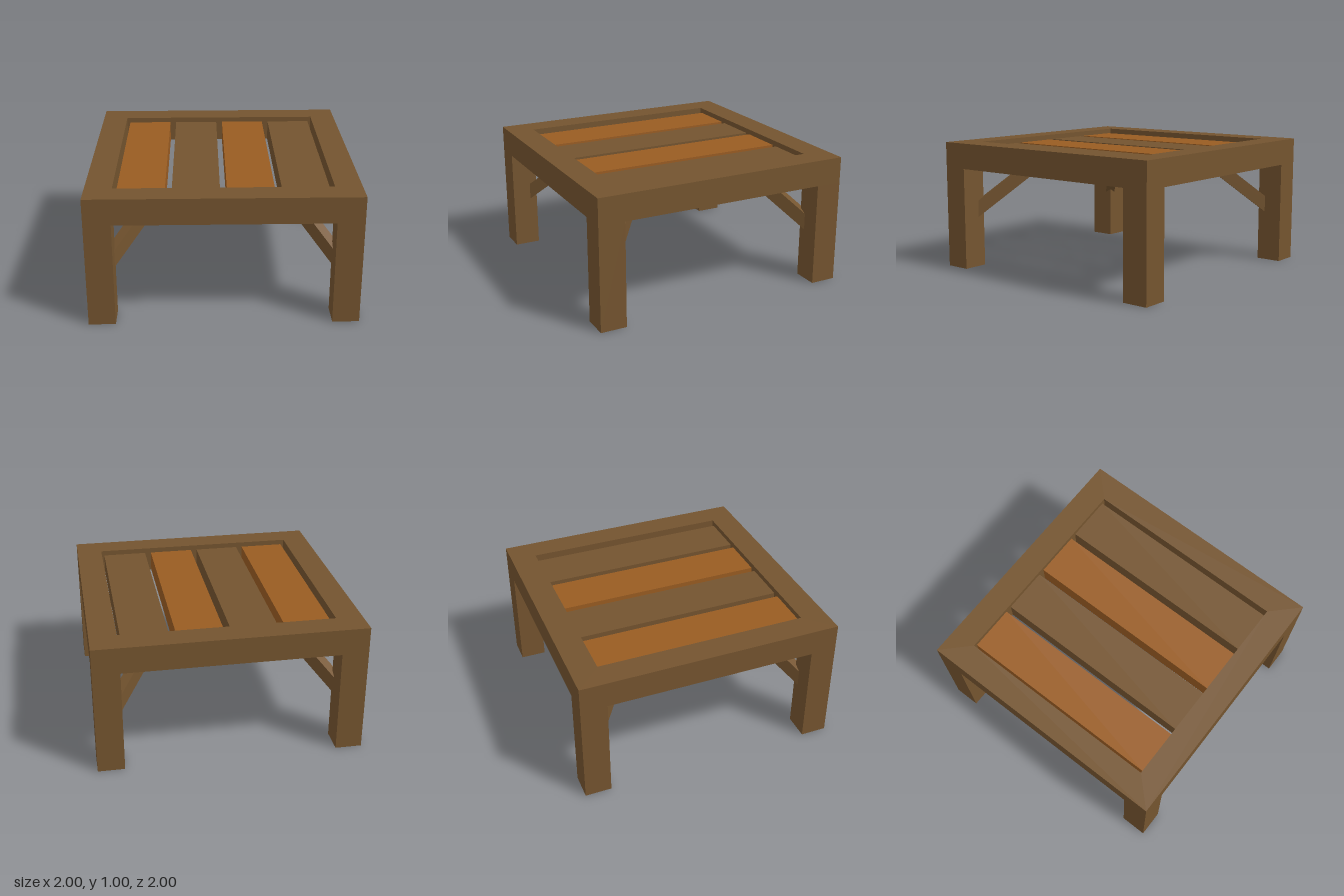
import * as THREE from 'three';

export function createModel() {
  const group = new THREE.Group();
  const brown = new THREE.MeshStandardMaterial({ color: 0x74542f, side: THREE.DoubleSide });
  brown.name = 'brown wood';
  const orange = new THREE.MeshStandardMaterial({ color: 0x995c22, side: THREE.DoubleSide });
  orange.name = 'orange wood';

  const add = (name, geometry, material, x = 0, y = 0, z = 0) => {
    const mesh = new THREE.Mesh(geometry, material);
    mesh.name = name;
    mesh.position.set(x, y, z);
    group.add(mesh);
    return mesh;
  };

  // square top frame with an open middle
  const square = (s) => [[-s, -s], [s, -s], [s, s], [-s, s]].map(([x, y]) => new THREE.Vector2(x, y));
  const outline = new THREE.Shape(square(1));
  outline.holes.push(new THREE.Path(square(0.8)));
  const frame = new THREE.ExtrudeGeometry(outline, { depth: 0.2, bevelEnabled: false });
  frame.rotateX(-Math.PI / 2);
  add('topFrame', frame, brown, 0, 0.8, 0);

  // planks: recessed channels, open underneath (right, left and top faces only)
  const plank = new THREE.BoxGeometry(0.35, 0.16, 1.6);
  plank.setIndex(Array.from(plank.index.array.slice(0, 18)));
  plank.clearGroups();
  [-0.6, -0.2, 0.2, 0.6].forEach((x, i) => {
    add('plank' + (i + 1), plank, i % 2 ? brown : orange, x, 0.88, 0);
  });

  // legs and diagonal corner braces
  const leg = new THREE.BoxGeometry(0.2, 0.8, 0.2);
  const dir = (sx, sz) => new THREE.Vector3(-sx, 1.09, -sz).normalize();
  for (const sx of [-1, 1]) {
    for (const sz of [-1, 1]) {
      add('leg', leg, brown, sx * 0.9, 0.4, sz * 0.9);

      // underside line of the brace runs from inside the leg up to the planks
      const start = new THREE.Vector3(sx * 0.87, 0.355, sz * 0.87);
      const end = new THREE.Vector3(sx * 0.4975, 0.76, sz * 0.4975);
      const along = dir(sx, sz);
      const side = new THREE.Vector3(0, 1, 0).cross(along).normalize();
      const up = along.clone().cross(side);
      const brace = new THREE.BoxGeometry(0.08, 0.103, start.distanceTo(end));
      brace.translate(0, 0.0515, 0);
      const mesh = add('cornerBrace', brace, brown);
      mesh.position.copy(start).lerp(end, 0.5);
      mesh.quaternion.setFromRotationMatrix(new THREE.Matrix4().makeBasis(side, up, along));
    }
  }
  return group;
}
